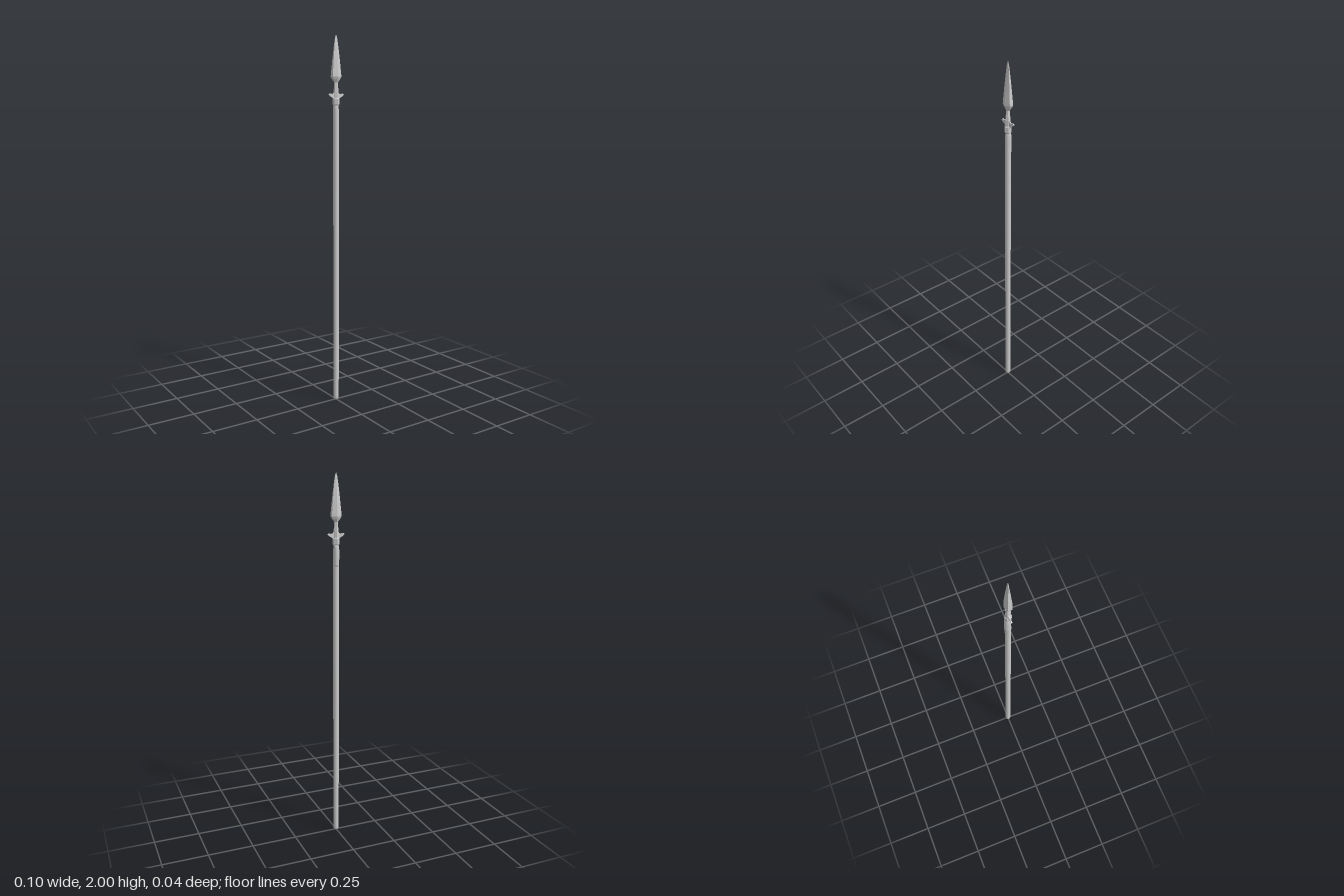
import * as THREE from 'three';

const material = new THREE.MeshStandardMaterial({ color: 0xcccccc });
const flatMaterial = new THREE.MeshStandardMaterial({ color: 0xcccccc, flatShading: true });

// Six-sided loft: each section is [y, half width, half depth], bottom to top.
function hexLoft(sections) {
  const positions = [], index = [];
  for (const [y, w, d] of sections) {
    const ring = [[0, d], [w, d / 2], [w, -d / 2], [0, -d], [-w, -d / 2], [-w, d / 2]];
    for (const [x, z] of ring) positions.push(x, y, z);
  }
  for (let s = 0; s < sections.length - 1; s++) {
    for (let i = 0; i < 6; i++) {
      const a = s * 6 + i, b = s * 6 + (i + 1) % 6;
      index.push(a, b, b + 6, a, b + 6, a + 6);
    }
  }
  const top = (sections.length - 1) * 6;
  for (let i = 1; i < 5; i++) index.push(0, i + 1, i, top, top + i, top + i + 1);
  const geometry = new THREE.BufferGeometry();
  geometry.setAttribute('position', new THREE.Float32BufferAttribute(positions, 3));
  geometry.setIndex(index);
  geometry.computeVertexNormals();
  return geometry;
}

function lathe(points, sides) {
  return new THREE.LatheGeometry(points.map(([r, y]) => new THREE.Vector2(r, y)), sides);
}

export function createModel() {
  const spear = new THREE.Group();
  spear.name = 'spear';
  const add = (name, geometry, mat = material) => {
    const mesh = new THREE.Mesh(geometry, mat);
    mesh.name = name;
    spear.add(mesh);
    return mesh;
  };

  // Long round shaft with a softened butt
  add('shaft', lathe([[0, 0], [0.01, 0.001], [0.014, 0.006], [0.0155, 0.015],
    [0.0155, 0.03], [0.0155, 1.56], [0, 1.56]], 16));

  // Sleeve gripping the top of the shaft, set slightly towards the back
  const sleeve = add('sleeve', lathe([[0, 1.53], [0.0155, 1.53], [0.017, 1.535],
    [0.017, 1.615], [0.0145, 1.632], [0.0125, 1.645], [0, 1.645]], 16));
  sleeve.scale.x = 0.93;
  sleeve.position.z = -0.002;

  // Faceted collar, socket and neck below the blade
  add('socket', hexLoft([[1.635, 0.012, 0.014], [1.642, 0.015, 0.019], [1.67, 0.015, 0.019],
    [1.676, 0.013, 0.015], [1.705, 0.012, 0.015], [1.735, 0.009, 0.011],
    [1.765, 0.008, 0.009]]), flatMaterial);

  // Six-sided leaf blade, broad in front view and thin at the tip
  add('blade', hexLoft([[1.755, 0.008, 0.01], [1.772, 0.02, 0.017], [1.785, 0.027, 0.021],
    [1.8, 0.026, 0.02], [1.88, 0.0185, 0.013], [1.95, 0.011, 0.006],
    [1.985, 0.006, 0.0025], [2, 0.001, 0.0005]]), flatMaterial);

  // Flat side lugs tapering to points
  const outline = new THREE.Shape();
  outline.moveTo(0, 1.715);
  outline.lineTo(0.01, 1.715);
  outline.quadraticCurveTo(0.014, 1.697, 0.026, 1.696);
  outline.lineTo(0.04, 1.699);
  outline.lineTo(0.048, 1.693);
  outline.lineTo(0.038, 1.684);
  outline.lineTo(0.025, 1.677);
  outline.quadraticCurveTo(0.016, 1.674, 0.013, 1.65);
  outline.lineTo(0, 1.65);
  for (const side of ['left', 'right']) {
    const geometry = new THREE.ExtrudeGeometry(outline, { depth: 0.006, bevelEnabled: false, curveSegments: 6 });
    geometry.translate(0, 0, -0.003);
    if (side === 'right') geometry.rotateY(Math.PI);
    add(side + 'Lug', geometry, flatMaterial);
  }

  return spear;
}
